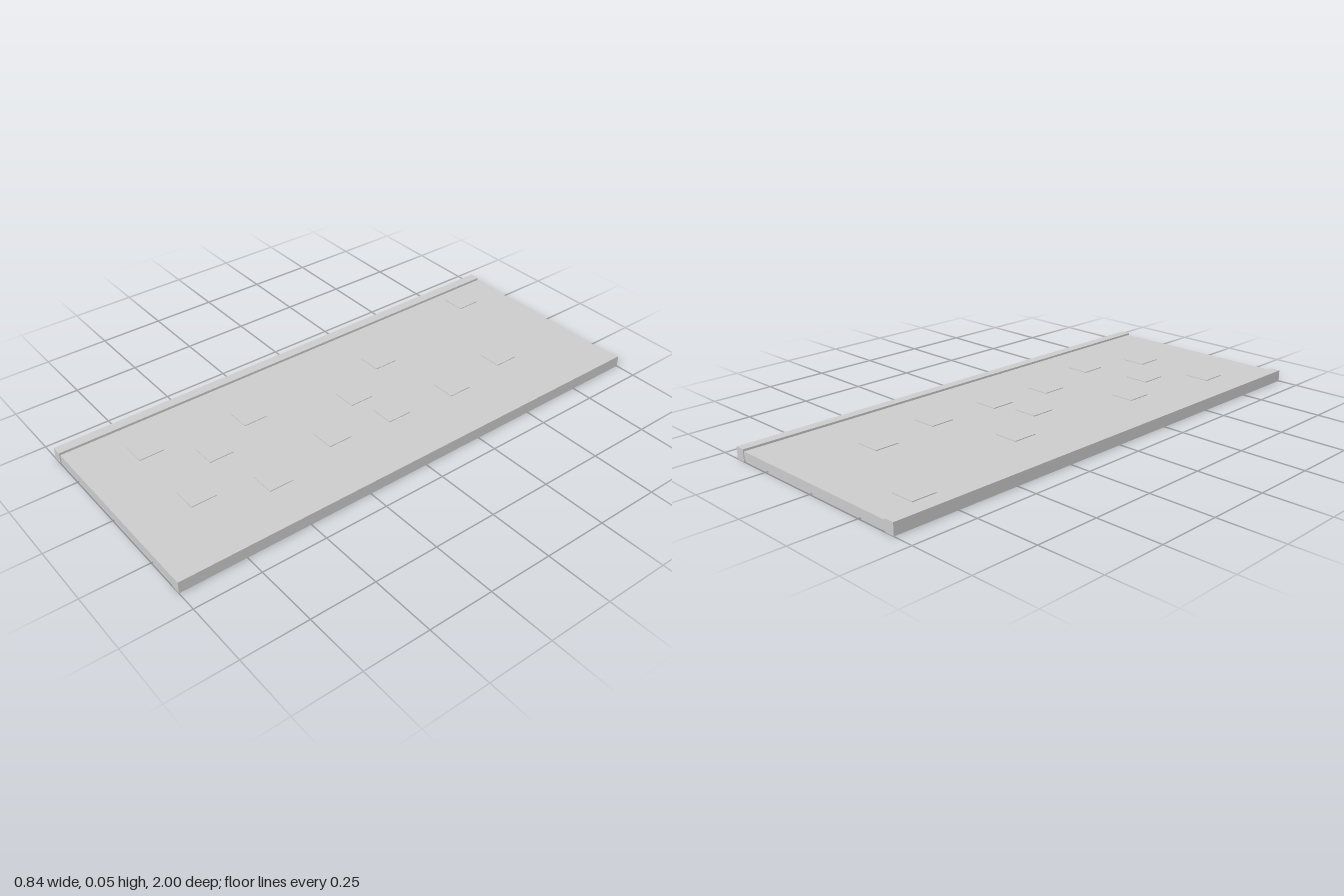
import * as THREE from 'three';

export function createModel() {
  const model = new THREE.Group();
  const material = new THREE.MeshStandardMaterial({ color: 0xcccccc, flatShading: true });

  // Box given by its minimum and maximum corners
  function addBox(name, min, max, parent = model) {
    const size = max.map((v, i) => v - min[i]);
    const mesh = new THREE.Mesh(new THREE.BoxGeometry(...size), material);
    mesh.position.set(...max.map((v, i) => (v + min[i]) / 2));
    mesh.name = name;
    parent.add(mesh);
  }

  // Deck slab, slightly recessed between the rails
  const deckTop = 0.037;
  addBox('deck', [-0.377, 0.006, -0.997], [0.379, deckTop, 0.997]);

  // Raised side rails
  addBox('leftRail', [0.379, 0, -1], [0.418, 0.045, 1]);
  addBox('rightRail', [-0.418, 0, -1], [-0.379, 0.045, 1]);

  // Thin square plates scattered over the deck: centre x, z
  const plates = new THREE.Group();
  plates.name = 'surfacePlates';
  model.add(plates);
  const half = 0.048;
  const centres = [
    [-0.289, -0.816], [0.115, -0.638], [-0.157, -0.252], [0.156, -0.356],
    [-0.026, -0.028], [0.138, -0.073], [0.12, 0.185], [-0.167, 0.351],
    [-0.066, 0.562], [0.188, 0.488], [-0.226, 0.747], [0.094, 0.735],
  ];
  for (const [x, z] of centres) {
    addBox('surfacePlate', [x - half, deckTop - 0.002, z - half], [x + half, 0.04, z + half], plates);
  }

  return model;
}
